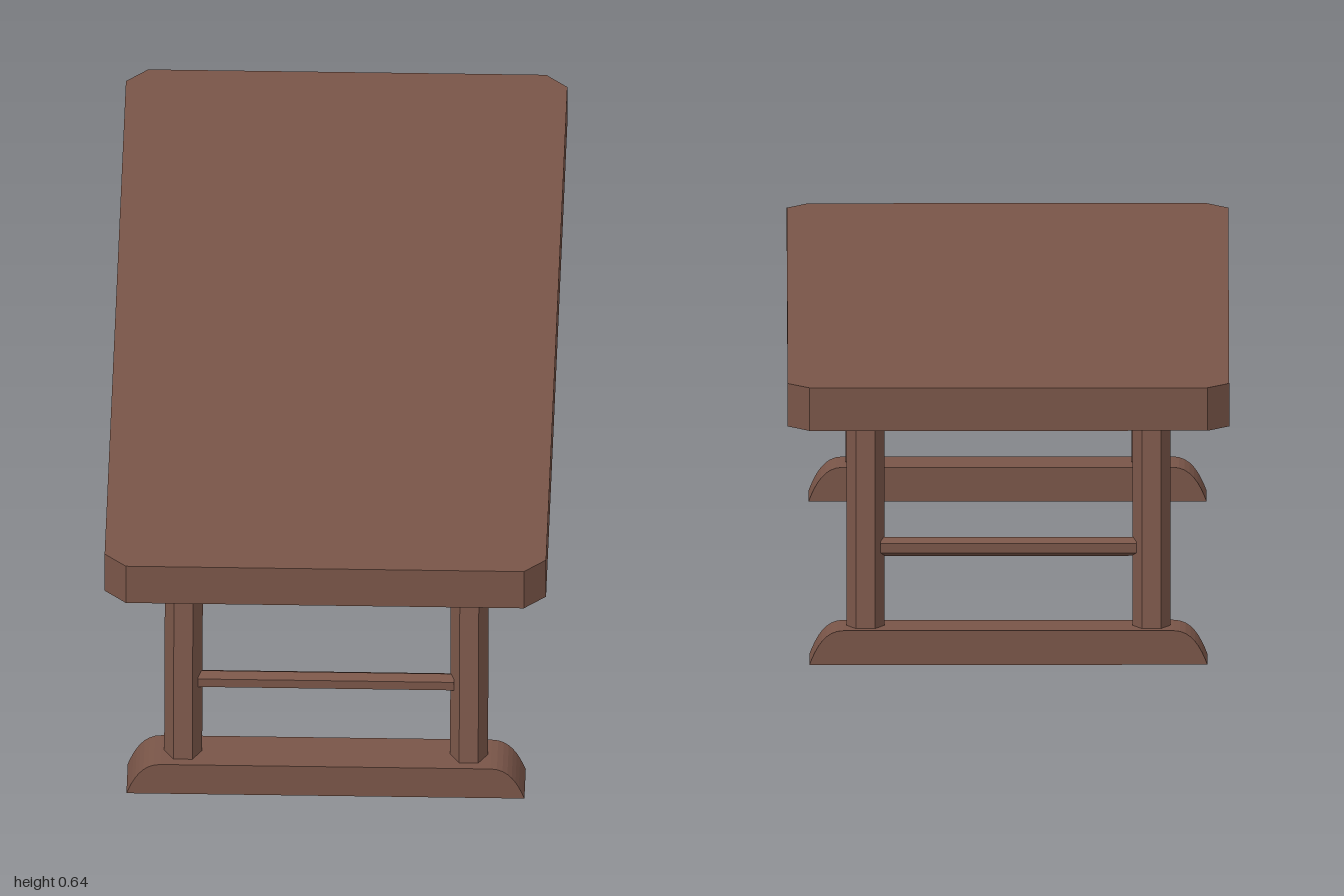
import * as THREE from 'three';

const wood = new THREE.MeshStandardMaterial({ color: 0x795548, flatShading: true });
wood.name = 'brown wood';

function part(name, geometry) {
  const mesh = new THREE.Mesh(geometry, wood);
  mesh.name = name;
  return mesh;
}

// Centre line of the splayed legs
const legZ = (y) => 0.885 - (0.075 * (y - 0.077)) / 0.463;

// Thick slab with clipped corners
function tabletop() {
  const w = 0.488, d = 1, c = 0.048;
  const outline = [
    [-w + c, -d], [w - c, -d], [w, -d + c], [w, d - c],
    [w - c, d], [-w + c, d], [-w, d - c], [-w, -d + c],
  ].map(([x, y]) => new THREE.Vector2(x, y));
  const geometry = new THREE.ExtrudeGeometry(new THREE.Shape(outline), { depth: 0.097, bevelEnabled: false });
  geometry.rotateX(-Math.PI / 2);
  geometry.translate(0, 0.54, 0);
  return part('tabletop', geometry);
}

// Runner with rounded ends
function foot() {
  const shape = new THREE.Shape();
  shape.moveTo(-0.44, 0);
  shape.lineTo(0.44, 0);
  shape.bezierCurveTo(0.425, 0.04, 0.405, 0.077, 0.365, 0.077);
  shape.lineTo(-0.365, 0.077);
  shape.bezierCurveTo(-0.405, 0.077, -0.425, 0.04, -0.44, 0);
  const geometry = new THREE.ExtrudeGeometry(shape, { depth: 0.118, bevelEnabled: false, curveSegments: 8 });
  geometry.translate(0, 0, 0.826);
  return part('foot', geometry);
}

// Six-sided leg, sheared so that both ends stay level
function leg(x) {
  const geometry = new THREE.CylinderGeometry(0.042, 0.042, 0.48, 6, 1, false, Math.PI / 2);
  geometry.translate(x, 0.31, 0);
  const p = geometry.attributes.position;
  for (let i = 0; i < p.count; i++) p.setZ(i, p.getZ(i) + legZ(p.getY(i)));
  geometry.computeVertexNormals();
  return part('leg', geometry);
}

// Six-sided rail between two legs
function crossbar() {
  const geometry = new THREE.CylinderGeometry(0.021, 0.021, 0.566, 6, 1, false, Math.PI / 2);
  geometry.rotateZ(Math.PI / 2);
  geometry.translate(0, 0.249, legZ(0.249));
  return part('crossbar', geometry);
}

export function createModel() {
  const model = new THREE.Group();
  model.name = 'table';
  model.add(tabletop());
  // One trestle at each end
  for (const [name, turn] of [['frontTrestle', 0], ['backTrestle', Math.PI]]) {
    const trestle = new THREE.Group();
    trestle.name = name;
    trestle.add(foot(), leg(-0.316), leg(0.316), crossbar());
    trestle.rotation.y = turn;
    model.add(trestle);
  }
  return model;
}
